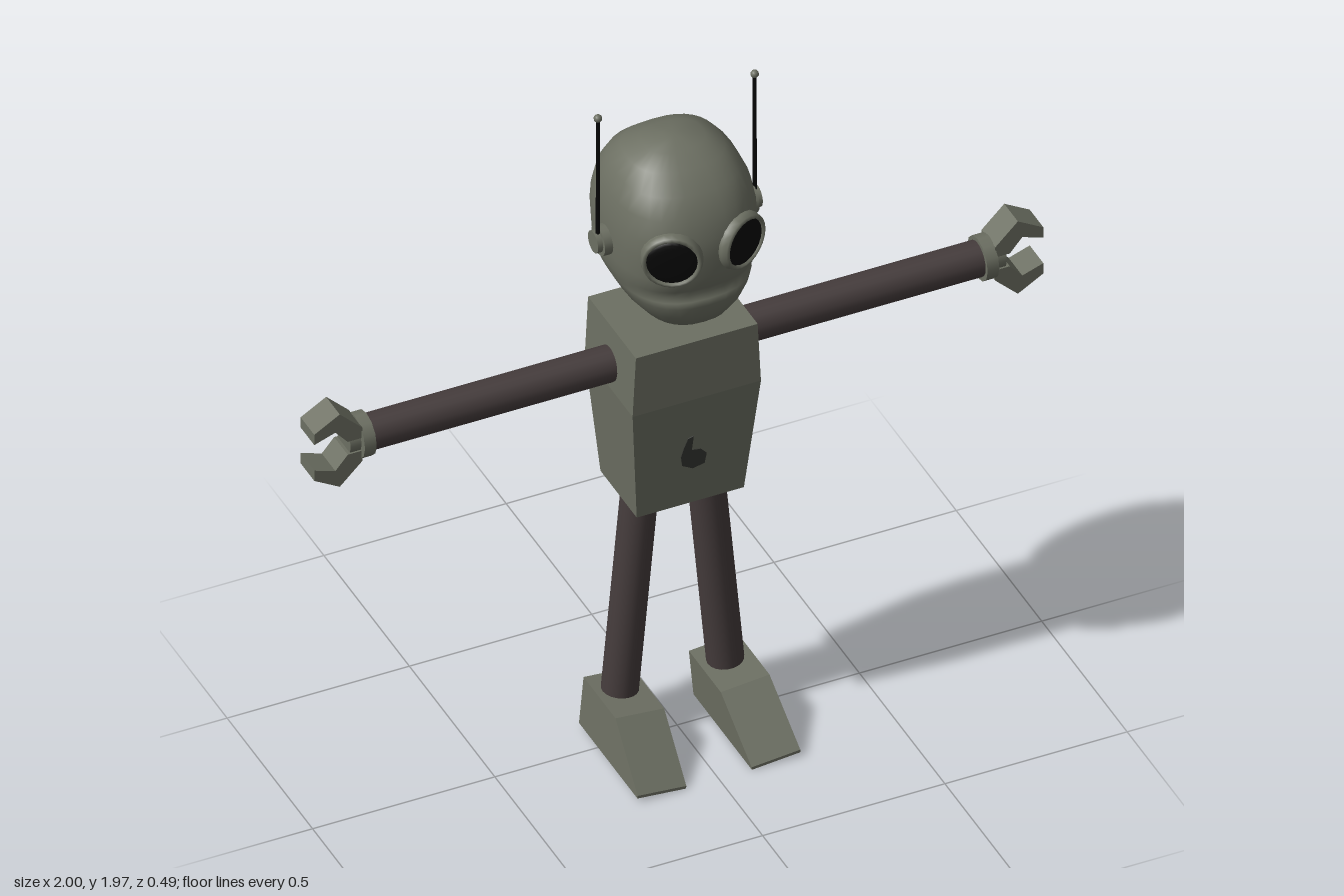
import * as THREE from 'three';

const paint = (name, color, extra = {}) => {
  const m = new THREE.MeshStandardMaterial({ color, ...extra });
  m.name = name;
  return m;
};

// Loft of rings [y, half width, front z, back z]; squareness sets the corner roundness
function loft(rings, segments, power) {
  const pos = [], index = [];
  const bend = v => Math.sign(v) * Math.pow(Math.abs(v), 2 / power);
  for (const [y, w, f, b] of rings) {
    for (let i = 0; i < segments; i++) {
      const a = (i / segments) * Math.PI * 2;
      pos.push(w * bend(Math.sin(a)), y, (f + b) / 2 + ((f - b) / 2) * bend(Math.cos(a)));
    }
  }
  for (let r = 0; r < rings.length - 1; r++) {
    for (let i = 0; i < segments; i++) {
      const j = (i + 1) % segments;
      const a = r * segments + i, b = r * segments + j;
      index.push(a, b, b + segments, a, b + segments, a + segments);
    }
  }
  // Close both ends with a centre point
  for (const r of [0, rings.length - 1]) {
    const c = pos.length / 3, [y, , f, b] = rings[r];
    pos.push(0, y, (f + b) / 2);
    for (let i = 0; i < segments; i++) {
      const p = r * segments + i, q = r * segments + (i + 1) % segments;
      if (r) index.push(p, q, c); else index.push(q, p, c);
    }
  }
  const g = new THREE.BufferGeometry();
  g.setAttribute('position', new THREE.Float32BufferAttribute(pos, 3));
  g.setIndex(index);
  g.computeVertexNormals();
  return g;
}

// Square-cornered block from rings [y, half width, front z, back z]
function block(rings) {
  const g = new THREE.BoxGeometry(2, 2, 2, 1, rings.length - 1, 1);
  const p = g.attributes.position;
  for (let i = 0; i < p.count; i++) {
    const k = Math.round(((p.getY(i) + 1) / 2) * (rings.length - 1));
    const [y, w, f, b] = rings[k];
    p.setXYZ(i, p.getX(i) * w, y, p.getZ(i) > 0 ? f : b);
  }
  const flat = g.toNonIndexed();
  flat.computeVertexNormals();
  return flat;
}

// Flat outline extruded and centred on its thickness
function plate(points, depth) {
  const shape = new THREE.Shape(points.map(([x, y]) => new THREE.Vector2(x, y)));
  return new THREE.ExtrudeGeometry(shape, { depth, bevelEnabled: false }).translate(0, 0, -depth / 2);
}

// Cylinder along x from x0 to x1
const rodX = (r, x0, x1, sides) =>
  new THREE.CylinderGeometry(r, r, x1 - x0, sides).rotateZ(-Math.PI / 2).translate((x0 + x1) / 2, 0, 0);

export function createModel() {
  const metal = paint('grey green metal', 0x6c6f62);
  const limb = paint('dark brown limb', 0x453c3c);
  const black = paint('black', 0x060606);
  const stain = paint('dark stain', 0x363733);

  const model = new THREE.Group();
  model.name = 'robot';
  const add = (parent, name, geometry, material, x = 0, y = 0, z = 0) => {
    const m = new THREE.Mesh(geometry, material);
    m.name = name;
    m.position.set(x, y, z);
    parent.add(m);
    return m;
  };
  const group = (name, x, y, z) => {
    const g = new THREE.Group();
    g.name = name;
    g.position.set(x, y, z);
    model.add(g);
    return g;
  };

  // Head with a lip crease above the jaw
  add(model, 'head', loft([
    [1.337, 0.03, 0.05, -0.08], [1.346, 0.075, 0.11, -0.12], [1.37, 0.115, 0.157, -0.155],
    [1.41, 0.148, 0.18, -0.187], [1.445, 0.167, 0.19, -0.21], [1.465, 0.176, 0.189, -0.217],
    [1.476, 0.179, 0.173, -0.219], [1.5, 0.187, 0.188, -0.227], [1.54, 0.191, 0.198, -0.234],
    [1.6, 0.193, 0.2, -0.24], [1.65, 0.19, 0.196, -0.236], [1.71, 0.18, 0.175, -0.217],
    [1.76, 0.158, 0.14, -0.185], [1.8, 0.126, 0.09, -0.14], [1.825, 0.08, 0.04, -0.09],
    [1.835, 0.025, 0.0, -0.045],
  ], 32, 2.5), metal);

  add(model, 'neck', new THREE.CylinderGeometry(0.046, 0.046, 0.14, 16), metal, 0, 1.32, -0.027);

  // Torso: straight chest, tapered belly
  add(model, 'torso', block([
    [0.75, 0.147, 0.077, -0.135], [1.1, 0.176, 0.115, -0.165], [1.28, 0.167, 0.115, -0.165],
  ]), metal);

  // Worn patch on the belly
  const patch = add(model, 'bellyStain', plate([
    [-0.035, 0.0], [-0.03, -0.03], [0.0, -0.048], [0.032, -0.04], [0.036, -0.008], [0.018, 0.012],
    [-0.006, 0.016], [-0.003, 0.062], [-0.018, 0.058], [-0.028, 0.03],
  ], 0.004), stain, 0, 0.915, 0.0955);
  patch.rotation.x = 0.108;

  const eyeRing = new THREE.LatheGeometry(
    [[0.077, -0.03], [0.079, 0.025], [0.075, 0.04], [0.066, 0.043], [0.063, 0.03]]
      .map(([r, y]) => new THREE.Vector2(r, y)), 24).rotateX(Math.PI / 2);
  const lens = new THREE.SphereGeometry(0.065, 20, 6, 0, Math.PI * 2, 0, Math.PI / 2)
    .scale(1, 0.22, 1).rotateX(Math.PI / 2);
  const claw = [[0.865, 0.02], [0.868, 0.052], [0.93, 0.113], [1, 0.072], [1, 0.04], [0.942, 0.06], [0.908, 0.02]];
  const lean = Math.atan2(0.055, 0.61);
  const ringMetal = paint('grey green rim', 0x6c6f62, { side: THREE.DoubleSide });

  for (const s of [1, -1]) {
    const side = s > 0 ? 'left' : 'right';
    const turn = s > 0 ? 0 : Math.PI;

    // Goggle eye turned outward
    const eye = group(side + 'Eye', s * 0.085, 1.605, 0.15);
    eye.rotation.y = s * 0.43;
    add(eye, 'eyeRing', eyeRing, ringMetal);
    add(eye, 'lens', lens, black, 0, 0, 0.034);

    // Ear knob with antenna
    const ear = group(side + 'Ear', 0, 1.577, -0.01);
    ear.rotation.y = turn;
    add(ear, 'earBase', rodX(0.041, 0.17, 0.212, 16), metal);
    add(ear, 'earCap', rodX(0.03, 0.2, 0.226, 16), metal);
    const antenna = group(side + 'Antenna', s * 0.215, 0, -0.005);
    add(antenna, 'antennaRod', new THREE.CylinderGeometry(0.005, 0.006, 0.37, 8), black, 0, 1.775, 0);
    add(antenna, 'antennaTip', new THREE.SphereGeometry(0.011, 10, 8), metal, 0, 1.963, 0);

    // Arm, wrist and two-fingered claw
    const arm = group(side + 'Arm', 0, 1.167, -0.03);
    arm.rotation.y = turn;
    add(arm, 'armTube', rodX(0.048, 0.14, 0.845, 20), limb);
    add(arm, 'wrist', rodX(0.06, 0.838, 0.87, 12), metal);
    add(arm, 'palm', rodX(0.04, 0.86, 0.9, 12), metal);
    for (const v of [1, -1]) {
      add(arm, v > 0 ? 'upperClaw' : 'lowerClaw', plate(claw.map(([x, y]) => [x, y * v]), 0.08), metal);
    }

    // Leg leaning outward, with wedge foot
    const leg = group(side + 'Leg', s * 0.09, 0.75, -0.027);
    leg.rotation.z = s * lean;
    add(leg, 'legTube', new THREE.CylinderGeometry(0.048, 0.048, 0.64, 20), limb, 0, -0.3, 0);
    const foot = plate([[-0.07, 0], [0.272, 0], [0.272, 0.008], [0.117, 0.14], [-0.07, 0.14]], 0.134);
    add(leg, 'foot', foot.rotateY(-Math.PI / 2), metal, 0, -0.746, 0);
  }
  return model;
}
